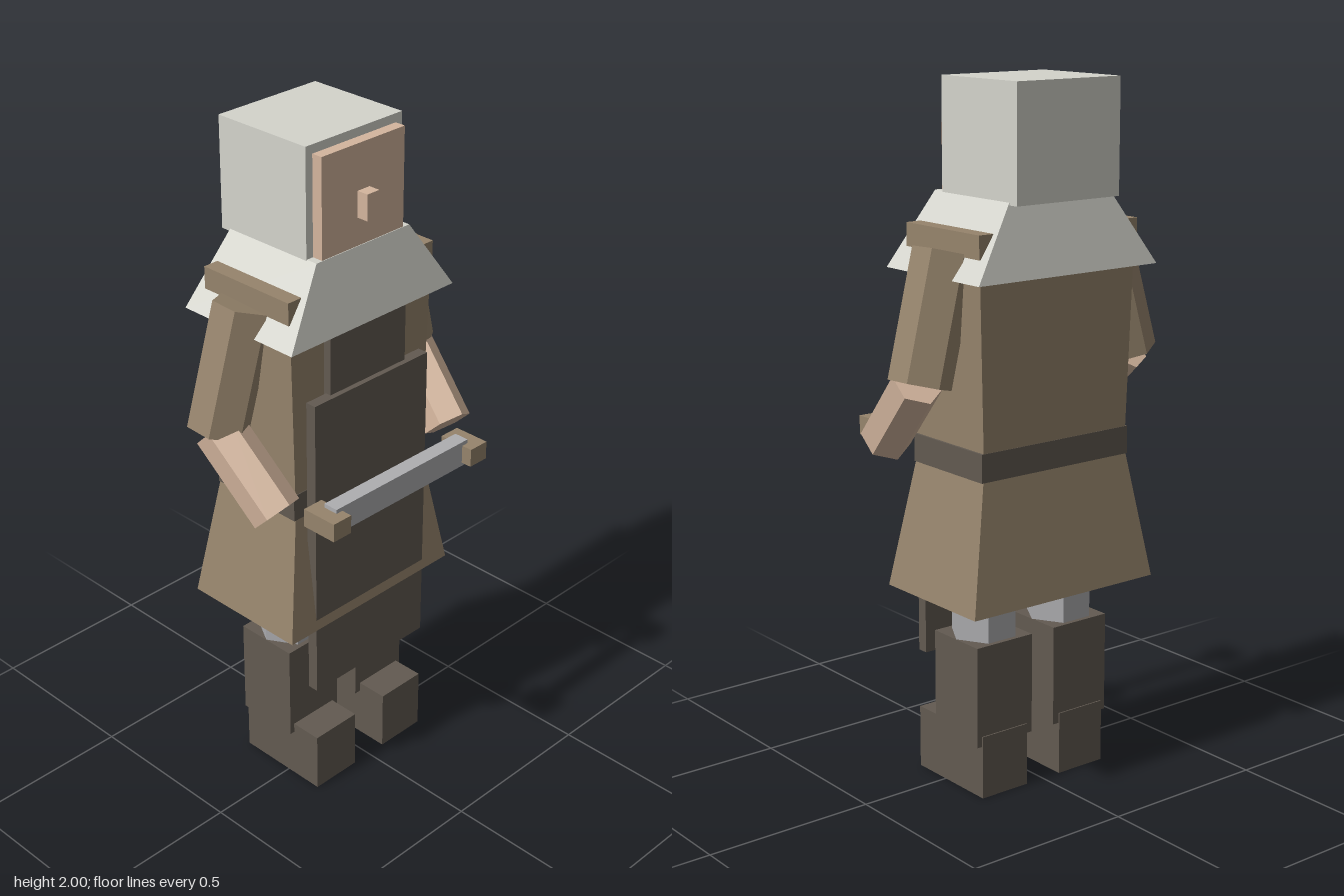
import * as THREE from 'three';

const mat = (name, color) => {
  const m = new THREE.MeshStandardMaterial({ color });
  m.name = name;
  return m;
};

export function createModel() {
  const group = new THREE.Group();
  const cloth = mat('brown cloth', 0x96846c);
  const leather = mat('dark leather', 0x625a51);
  const skin = mat('skin', 0xd4b69e);
  const linen = mat('pale linen', 0xd4d4cc);
  const steel = mat('steel grey', 0xaeaeb1);

  const add = (name, geometry, material) => {
    const mesh = new THREE.Mesh(geometry, material);
    mesh.name = name;
    group.add(mesh);
    return mesh;
  };

  // Axis-aligned block given by its min and max on each axis
  const block = (name, material, [x0, x1], [y0, y1], [z0, z1]) => {
    const g = new THREE.BoxGeometry(x1 - x0, y1 - y0, z1 - z0);
    add(name, g, material).position.set((x0 + x1) / 2, (y0 + y1) / 2, (z0 + z1) / 2);
  };

  // Tapered block: each end is [y, half width, back z, front z]
  const taper = (name, material, bottom, top) => {
    const g = new THREE.BoxGeometry(2, 2, 2);
    const p = g.attributes.position;
    for (let i = 0; i < p.count; i++) {
      const [y, hx, back, front] = p.getY(i) > 0 ? top : bottom;
      p.setXYZ(i, Math.sign(p.getX(i)) * hx, y, p.getZ(i) > 0 ? front : back);
    }
    g.computeVertexNormals();
    add(name, g, material);
  };

  // Six-sided limb from point a down to point b
  const limb = (name, material, a, b, radius, turn = 0) => {
    const start = new THREE.Vector3(...a), end = new THREE.Vector3(...b);
    const dir = start.clone().sub(end);
    let g = new THREE.CylinderGeometry(radius, radius, dir.length(), 6, 1, false, turn);
    g = g.toNonIndexed();
    g.computeVertexNormals();
    const mesh = add(name, g, material);
    mesh.position.copy(start).add(end).multiplyScalar(0.5);
    mesh.quaternion.setFromUnitVectors(new THREE.Vector3(0, 1, 0), dir.normalize());
  };

  // Head and hood
  block('hood', linen, [-0.177, 0.177], [1.68, 2], [-0.27, 0.052]);
  block('face', skin, [-0.153, 0.153], [1.685, 1.975], [0.03, 0.085]);
  block('nose', skin, [-0.022, 0.022], [1.77, 1.845], [0.08, 0.12]);
  taper('hoodCape', linen, [1.485, 0.31, -0.28, 0.13], [1.69, 0.175, -0.238, 0.087]);

  // Tunic
  taper('tunicBody', cloth, [1.02, 0.253, -0.225, 0.078], [1.56, 0.27, -0.232, 0.084]);
  taper('belt', leather, [0.94, 0.26, -0.226, 0.08], [1.02, 0.26, -0.226, 0.08]);
  taper('tunicSkirt', cloth, [0.577, 0.32, -0.271, 0.127], [0.94, 0.255, -0.226, 0.08]);

  // Apron
  block('apron', leather, [-0.22, 0.22], [0.36, 1.3], [0.09, 0.123]);
  block('apronBib', leather, [-0.145, 0.145], [1.17, 1.53], [0.07, 0.107]);

  // Paired parts, mirrored in x
  for (const [side, s] of [['left', 1], ['right', -1]]) {
    const span = (a, b) => (s > 0 ? [a, b] : [-b, -a]);
    block(side + 'ShoulderPad', cloth, span(0.225, 0.275), [1.545, 1.61], [-0.237, 0.084]);
    limb(side + 'Sleeve', cloth, [0.274 * s, 1.55, -0.085], [0.369 * s, 1.203, -0.098], 0.087);
    limb(side + 'Forearm', skin, [0.37 * s, 1.21, -0.092], [0.343 * s, 1.013, 0.1], 0.072);
    limb(side + 'Leg', steel, [0.137 * s, 0.7, -0.073], [0.137 * s, 0.3, -0.073], 0.097, Math.PI / 6);
    block(side + 'BootShaft', leather, span(0.04, 0.235), [0.155, 0.45], [-0.171, 0.025]);
    block(side + 'BootFoot', leather, span(0.06, 0.22), [0, 0.185], [-0.175, 0.122]);
    block(side + 'ToolGrip', cloth, span(0.241, 0.307), [0.985, 1.04], [0.167, 0.279]);
  }

  // Two-handed scraping blade
  block('toolBlade', steel, [-0.263, 0.263], [0.974, 1.052], [0.2, 0.246]);

  return group;
}
